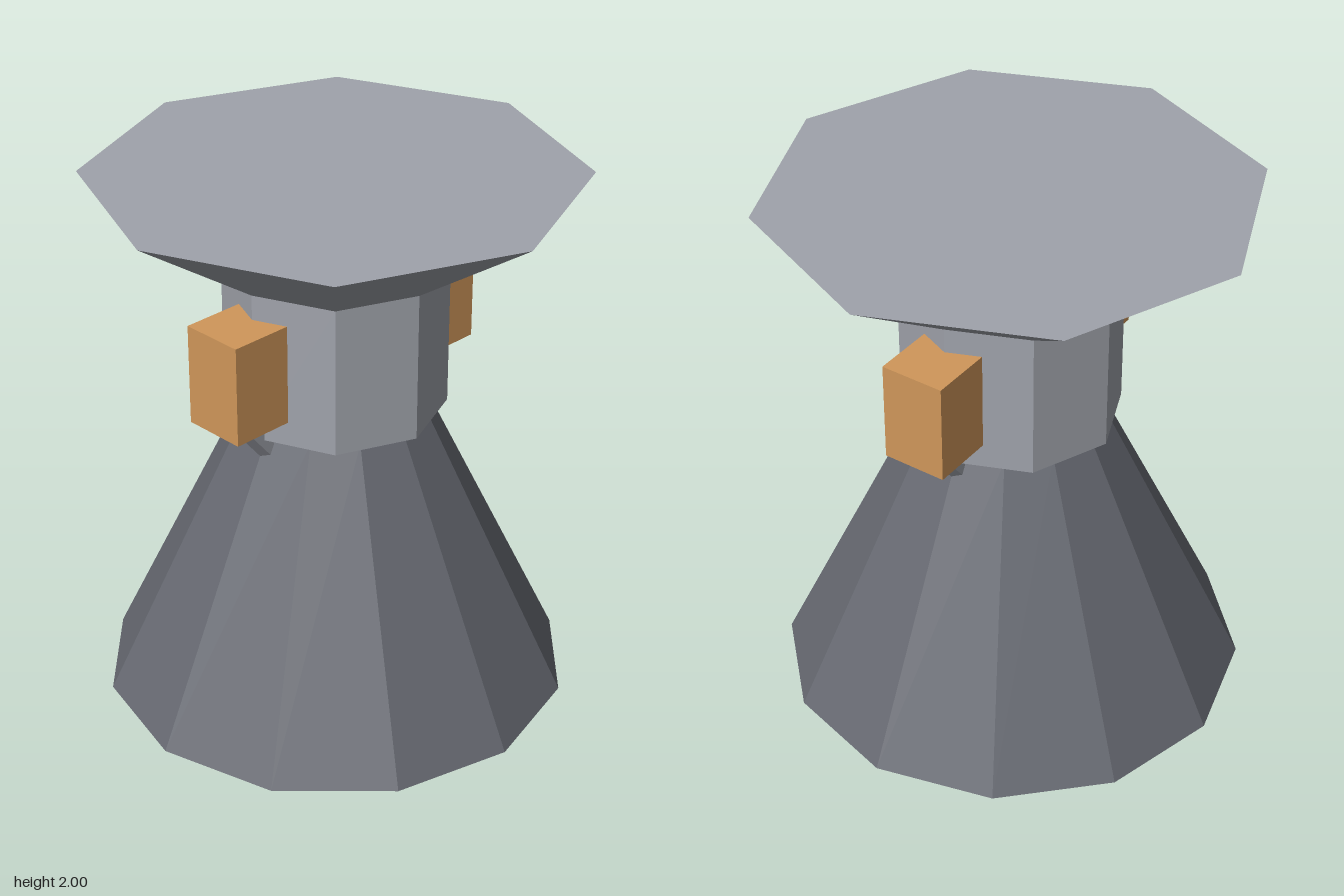
import * as THREE from 'three';

const material = (name, color) => {
  const m = new THREE.MeshStandardMaterial({ color, flatShading: true });
  m.name = name;
  return m;
};

export function createModel() {
  const group = new THREE.Group();
  group.name = 'nozzleTower';
  const darkGrey = material('dark grey', 0x676a72);
  const lightGrey = material('light grey', 0xa0a3ab);
  const orange = material('orange', 0xd0975a);

  const add = (name, geometry, mat, x = 0, y = 0, z = 0) => {
    const mesh = new THREE.Mesh(geometry, mat);
    mesh.name = name;
    mesh.position.set(x, y, z);
    group.add(mesh);
    return mesh;
  };

  // Faceted ring of given radii between two heights
  const drum = (name, mat, rTop, rBottom, y0, y1, sides) =>
    add(name, new THREE.CylinderGeometry(rTop, rBottom, y1 - y0, sides), mat, 0, (y0 + y1) / 2);

  drum('baseCone', darkGrey, 0.335, 0.865, 0, 1.115, 12);
  drum('body', lightGrey, 0.4, 0.4, 1.115, 1.67, 8);
  drum('topFlare', lightGrey, 0.885, 0.4, 1.67, 2, 8);

  // Side boxes, each carried by a slanted hexagonal strut
  for (const [side, s] of [['left', 1], ['right', -1]]) {
    add(side + 'Box', new THREE.BoxGeometry(0.236, 0.372, 0.24), orange, s * 0.467, 1.392, 0);

    const low = new THREE.Vector3(s * 0.339, 1.055, 0);
    const high = new THREE.Vector3(s * 0.495, 1.245, 0);
    const dir = high.clone().sub(low);
    const strut = add(side + 'Strut',
      new THREE.CylinderGeometry(0.042, 0.042, dir.length(), 6, 1, false, Math.PI / 2), lightGrey);
    strut.position.copy(low).add(high).multiplyScalar(0.5);
    strut.rotation.z = -Math.atan2(dir.x, dir.y);
  }
  return group;
}
